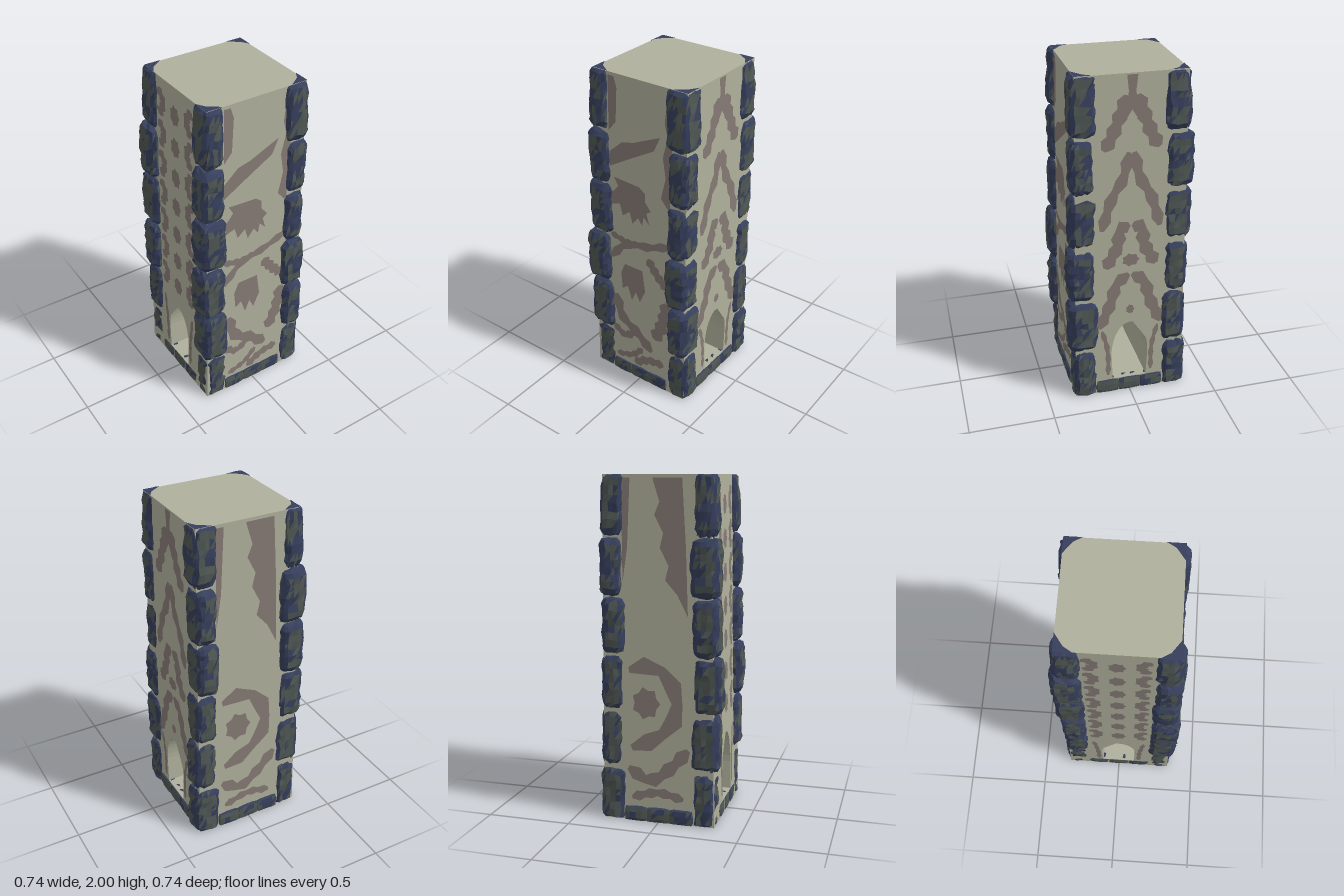
import * as THREE from 'three';

const mat = (color) => new THREE.MeshStandardMaterial({ color, flatShading: true });
const wallMat = mat(0xb0b09c), stainMat = mat(0x857a75);
const blueMat = mat(0x363f5c), greyMat = mat(0x4f5753);

// Half width of the plaster shaft, which tapers and leans slightly upwards
const wallHalf = (y) => 0.333 - 0.011 * y;
function lean(geometry) {
  const p = geometry.attributes.position;
  for (let i = 0; i < p.count; i++) {
    p.setX(i, p.getX(i) + 0.007 * p.getY(i));
    p.setZ(i, p.getZ(i) - 0.0035 * p.getY(i));
  }
  geometry.computeVertexNormals();
}

// Seeded value in -1..1 from a position, so coincident vertices move together
function hash(x, y, z, s) {
  const v = Math.sin(Math.round(x * 1e4) * 0.127 + Math.round(y * 1e4) * 0.311 + Math.round(z * 1e4) * 0.747 + s * 7.7) * 4375.85;
  return (v - Math.floor(v)) * 2 - 1;
}

// Rough rounded block between two corners: grey on its flats, blue on its edges
function stone(name, min, max, seg, radius, seed) {
  const size = new THREE.Vector3().subVectors(max, min);
  const mid = new THREE.Vector3().addVectors(min, max).multiplyScalar(0.5);
  const box = new THREE.BoxGeometry(size.x, size.y, size.z, ...seg);
  const inner = size.clone().multiplyScalar(0.5).subScalar(radius);
  const p = new THREE.Vector3(), core = new THREE.Vector3(), pos = box.attributes.position;
  const rough = radius * 0.13;
  for (let i = 0; i < pos.count; i++) {
    p.fromBufferAttribute(pos, i);
    const n = [0, 1, 2].map((k) => hash(p.x, p.y, p.z, seed + k) * rough);
    core.copy(p).clamp(inner.clone().negate(), inner);
    p.sub(core).normalize().multiplyScalar(radius).add(core);
    p.add(mid).add(new THREE.Vector3(...n));
    // blocks draw in a little towards the roof
    const inset = 1 - 0.2 * Math.max(0, p.y - 1.8);
    pos.setXYZ(i, p.x * inset, THREE.MathUtils.clamp(p.y, 0.003, 1.997), p.z * inset);
  }
  const flat = box.toNonIndexed().attributes.position;
  const parts = [[], []], tri = new THREE.Triangle(), normal = new THREE.Vector3(), c = new THREE.Vector3();
  for (let i = 0; i < flat.count; i += 3) {
    tri.setFromAttributeAndIndices(flat, i, i + 1, i + 2);
    tri.getNormal(normal);
    tri.getMidpoint(c);
    const facing = Math.max(Math.abs(normal.x), Math.abs(normal.z));
    const mottle = Math.sin(c.x * 37 + c.z * 29 + seed) + Math.sin(c.y * 31 + seed * 2) + hash(c.x, c.y, c.z, seed);
    const list = parts[facing > 0.93 && mottle > -0.7 ? 1 : 0];
    for (const v of [tri.a, tri.b, tri.c]) list.push(v.x, v.y, v.z);
  }
  const group = new THREE.Group();
  group.name = name;
  parts.forEach((list, i) => {
    const g = new THREE.BufferGeometry();
    g.setAttribute('position', new THREE.Float32BufferAttribute(list, 3));
    g.computeVertexNormals();
    const mesh = new THREE.Mesh(g, i ? greyMat : blueMat);
    mesh.name = name + (i ? 'GreyFaces' : 'BlueFaces');
    group.add(mesh);
  });
  return group;
}

// Square shaft pierced by an arched passage along x
function shaft() {
  const s = new THREE.Shape([[-1, 0], [1, 0], [1, 1.998], [-1, 1.998]].map(([x, y]) => new THREE.Vector2(x, y)));
  const arch = [new THREE.Vector2(-0.104, 0.088), new THREE.Vector2(0.104, 0.088)];
  for (let i = 0; i <= 18; i++) {
    const t = (i / 18) * Math.PI;
    arch.push(new THREE.Vector2(0.112 * Math.cos(t), 0.26 + 0.22 * Math.sin(t)));
  }
  s.holes.push(new THREE.Path(arch));
  const g = new THREE.ExtrudeGeometry(s, { depth: 2, bevelEnabled: false });
  g.translate(0, 0, -1).rotateY(Math.PI / 2);
  const p = g.attributes.position;
  for (let i = 0; i < p.count; i++) {
    const w = wallHalf(p.getY(i)), z = p.getZ(i);
    p.setX(i, p.getX(i) * w);
    if (Math.abs(z) > 0.5) p.setZ(i, z * w);
  }
  lean(g);
  const mesh = new THREE.Mesh(g, wallMat);
  mesh.name = 'shaft';
  return mesh;
}

// Flat stain on one wall: outline points are (across, height) as seen facing it
function stain(turn, pts) {
  const g = new THREE.ShapeGeometry(new THREE.Shape(pts.map(([x, y]) => new THREE.Vector2(x, y))));
  const p = g.attributes.position;
  for (let i = 0; i < p.count; i++) p.setZ(i, wallHalf(p.getY(i)) + 0.002);
  g.rotateY(turn);
  lean(g);
  const mesh = new THREE.Mesh(g, stainMat);
  mesh.name = 'wallStain';
  return mesh;
}

// Jagged streak of a given half width following a few points
function streak(turn, pts, half) {
  const curve = new THREE.CatmullRomCurve3(pts.map(([x, y]) => new THREE.Vector3(x, y, 0)));
  const n = 8, a = [], b = [];
  for (let i = 0; i <= n; i++) {
    const c = curve.getPointAt(i / n), t = curve.getTangentAt(i / n);
    const w = half * (i === 0 || i === n ? 0.4 : i % 2 ? 1.25 : 0.75);
    a.push([c.x - t.y * w, c.y + t.x * w]);
    b.unshift([c.x + t.y * w, c.y - t.x * w]);
  }
  return stain(turn, [...a, ...b]);
}

// Ragged round blot
function blot(turn, x, y, rx, ry) {
  return stain(turn, Array.from({ length: 14 }, (_, i) => {
    const t = (i / 14) * Math.PI * 2, r = i % 2 ? 0.85 : 1.08;
    return [x + Math.cos(t) * rx * r, y + Math.sin(t) * ry * r];
  }));
}

export function createModel() {
  const model = new THREE.Group();
  model.name = 'tower';
  model.add(shaft());

  // Corner stones: six courses, with the outer reach of each side per course
  const courses = [-0.03, 0.316, 0.658, 0.99, 1.322, 1.655, 2.03];
  const reach = {
    right: [0.358, 0.355, 0.35, 0.338, 0.347, 0.347], left: [0.335, 0.353, 0.367, 0.352, 0.35, 0.333],
    front: [0.342, 0.367, 0.365, 0.35, 0.342, 0.342], back: [0.35, 0.342, 0.347, 0.365, 0.367, 0.347],
  };
  let seed = 1;
  for (const sx of [-1, 1]) for (const sz of [-1, 1]) for (let i = 0; i < 6; i++) {
    const ox = reach[sx > 0 ? 'right' : 'left'][i], oz = reach[sz > 0 ? 'front' : 'back'][i];
    const inX = (sx > 0 ? 0.205 : 0.195) + 0.01 * Math.sin(seed * 2.3), inZ = 0.195 + 0.012 * Math.sin(seed * 3.1);
    model.add(stone('cornerStone',
      new THREE.Vector3(sx > 0 ? inX : -ox, courses[i], sz > 0 ? inZ : -oz),
      new THREE.Vector3(sx > 0 ? ox : -inX, courses[i + 1], sz > 0 ? oz : -inZ), [5, 8, 5], 0.05, seed++));
  }

  // Stone corners showing in the roof
  for (const sx of [-1, 1]) for (const sz of [-1, 1]) {
    const x = sx > 0 ? 0.327 : 0.299, z = sz > 0 ? 0.305 : 0.319;
    const corner = new THREE.Shape([[x - 0.1, z], [x - 0.03, z - 0.05], [x, z - 0.1], [x, z]]
      .map(([a, b]) => new THREE.Vector2(a * sx, -b * sz)));
    const cap = new THREE.Mesh(new THREE.ShapeGeometry(corner).rotateX(-Math.PI / 2).translate(0, 2, 0), blueMat);
    cap.name = 'roofCorner';
    model.add(cap);
  }

  // Low foundation stones between the corners: right, back, left and front reach
  [0.346, 0.346, 0.355, 0.338].forEach((out, side) => {
    for (let i = -1; i <= 1; i++) {
      const s = stone('foundationStone', new THREE.Vector3(i * 0.135 - 0.072, -0.015, 0.27),
        new THREE.Vector3(i * 0.135 + 0.072, 0.088, out), [4, 3, 3], 0.018, seed++);
      s.rotation.y = side * Math.PI / 2;
      model.add(s);
    }
  });

  // Front stains
  const stains = new THREE.Group();
  stains.name = 'wallStains';
  model.add(stains);
  const F = 0, R = Math.PI / 2, B = Math.PI, L = -Math.PI / 2;
  stains.add(
    stain(F, [[-0.21, 1.44], [-0.04, 1.54], [0.1, 1.62], [0.14, 1.71], [-0.04, 1.63], [-0.12, 1.61], [-0.21, 1.53]]),
    stain(F, [[-0.18, 1.38], [-0.15, 1.33], [-0.2, 1.27], [-0.2, 1.2], [-0.14, 1.22], [-0.12, 1.15], [-0.07, 1.19], [-0.05, 1.12],
      [-0.01, 1.17], [0.02, 1.13], [0.03, 1.19], [0.07, 1.15], [0.05, 1.22], [0.08, 1.24], [0.04, 1.29], [0.04, 1.34], [0, 1.37]]),
    stain(F, [[0.19, 1.98], [0.17, 1.8], [0.19, 1.72], [0.16, 1.6], [0.18, 1.48], [0.15, 1.35], [0.21, 1.28], [0.23, 1.98]]),
    stain(F, [[-0.21, 1.98], [-0.21, 1.66], [-0.16, 1.72], [-0.15, 1.92], [-0.17, 1.98]]),
    stain(F, [[-0.11, 0.82], [-0.14, 0.75], [-0.13, 0.64], [-0.09, 0.67], [-0.06, 0.58], [-0.03, 0.65], [0.0, 0.59], [0.04, 0.68], [0.02, 0.82]]),
    streak(F, [[-0.21, 0.84], [-0.1, 0.96], [0.06, 1.0], [0.22, 1.06]], 0.024),
    streak(F, [[-0.21, 1.0], [-0.1, 0.98], [0, 0.99]], 0.02),
    streak(F, [[0.06, 0.92], [0.13, 0.83], [0.2, 0.76]], 0.03),
    streak(F, [[0.2, 0.66], [0.17, 0.5], [0.11, 0.36]], 0.04),
    streak(F, [[-0.18, 0.58], [-0.13, 0.42], [-0.02, 0.35], [0.09, 0.25]], 0.035),
    streak(F, [[-0.2, 0.34], [-0.12, 0.29], [-0.02, 0.36]], 0.025),
    streak(F, [[-0.18, 0.12], [-0.06, 0.16], [0.02, 0.24]], 0.02),
    streak(F, [[-0.04, 0.11], [0.06, 0.17], [0.18, 0.19]], 0.028));

  // Right stains: mirrored chevrons above the arch
  stains.add(stain(R, [[-0.03, 1.99], [-0.02, 1.9], [-0.05, 1.72], [0, 1.8], [0.05, 1.72], [0.02, 1.9], [0.03, 1.99]]));
  for (const m of [-1, 1]) {
    const chevron = (pts, w) => stains.add(streak(R, pts.map(([x, y]) => [m * x, y]), w));
    chevron([[0.03, 1.88], [0.07, 1.76], [0.13, 1.62], [0.16, 1.58]], 0.036);
    chevron([[0.015, 1.56], [0.05, 1.4], [0.11, 1.3], [0.17, 1.1]], 0.03);
    chevron([[0.01, 1.13], [0.06, 1.1], [0.08, 0.99], [0.15, 0.86]], 0.036);
    chevron([[0.01, 0.81], [0.08, 0.75], [0.12, 0.62], [0.19, 0.46]], 0.034);
    chevron([[0.17, 0.44], [0.137, 0.3], [0.133, 0.12]], 0.014);
  }
  stains.add(blot(R, 0, 0.9, 0.05, 0.04), blot(R, 0, 0.57, 0.025, 0.03));

  // Left stains: central spots with marks near the corners
  for (let i = 0; i < 7; i++) {
    const y = 0.66 + i * 0.195;
    stains.add(blot(L, 0, y, 0.045, 0.06));
    for (const m of [-1, 1]) stains.add(streak(L, [[m * 0.17, y + 0.1], [m * 0.12, y + 0.03], [m * 0.16, y - 0.06]], 0.028));
  }
  for (const m of [-1, 1]) stains.add(streak(L, [[m * 0.16, 0.5], [m * 0.137, 0.3], [m * 0.133, 0.12]], 0.014));

  // Back stains
  stains.add(
    stain(B, [[-0.02, 1.98], [0.02, 1.85], [-0.01, 1.78], [0.04, 1.68], [0.02, 1.6], [0.07, 1.5], [0.05, 1.42],
      [0.12, 1.34], [0.18, 1.22], [0.17, 1.6], [0.15, 1.98]]),
    stain(B, [[-0.2, 1.98], [-0.2, 1.4], [-0.17, 1.6], [-0.15, 1.98]]),
    streak(B, [[-0.17, 0.9], [-0.02, 0.93], [0.1, 0.8], [0.1, 0.62], [-0.02, 0.5], [-0.16, 0.44]], 0.042),
    blot(B, -0.07, 0.71, 0.08, 0.09),
    streak(B, [[-0.18, 0.32], [-0.05, 0.25], [0.08, 0.34], [0.18, 0.45]], 0.035),
    streak(B, [[-0.16, 0.14], [0, 0.18], [0.15, 0.15]], 0.025));

  return model;
}
